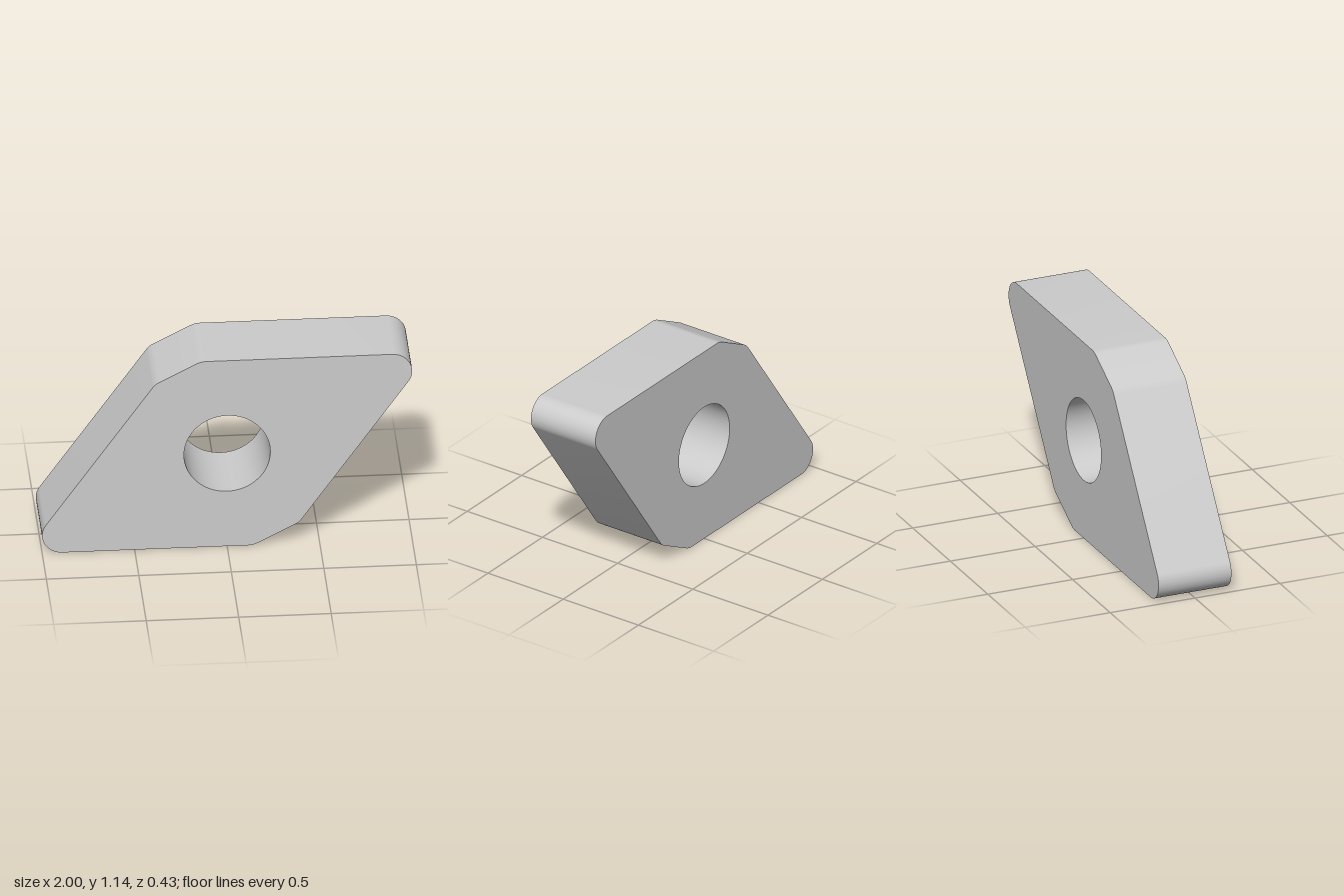
import * as THREE from 'three';
import { toCreasedNormals } from 'three/addons/utils/BufferGeometryUtils.js';

const INRADIUS = 0.5724; // every side of the outline touches this circle
const FILLET = 0.1082;   // corner radius
const HOLE = 0.2335;
const DEPTH = 0.429;

// Outward directions of the sides in degrees: bottom, chamfer, slanted side,
// then the same three turned by 180 degrees
const SIDES = [-90, -62.5, -35, 90, 117.5, 145, 270];

function insertOutline() {
  const shape = new THREE.Shape();
  for (let i = 0; i < SIDES.length - 1; i++) {
    const a = THREE.MathUtils.degToRad(SIDES[i]);
    const b = THREE.MathUtils.degToRad(SIDES[i + 1]);
    // Rounded corner between two neighbouring sides
    const mid = (a + b) / 2;
    const dist = (INRADIUS - FILLET) / Math.cos((b - a) / 2);
    shape.absarc(dist * Math.cos(mid), dist * Math.sin(mid), FILLET, a, b, false);
  }
  shape.closePath();
  return shape;
}

export function createModel() {
  const group = new THREE.Group();
  group.name = 'rhombicInsert';

  // Rhombic plate with rounded tips, chamfered blunt corners and a round bore
  const outline = insertOutline();
  const bore = new THREE.Path();
  bore.absarc(0, 0, HOLE, 0, Math.PI * 2, true);
  outline.holes.push(bore);

  const extruded = new THREE.ExtrudeGeometry(outline, {
    depth: DEPTH,
    bevelEnabled: false,
    curveSegments: 32,
  });
  extruded.translate(0, INRADIUS, -DEPTH / 2);

  const plate = new THREE.Mesh(
    toCreasedNormals(extruded, Math.PI / 6),
    new THREE.MeshStandardMaterial({ color: 0xcccccc })
  );
  plate.name = 'plate';
  group.add(plate);
  return group;
}
